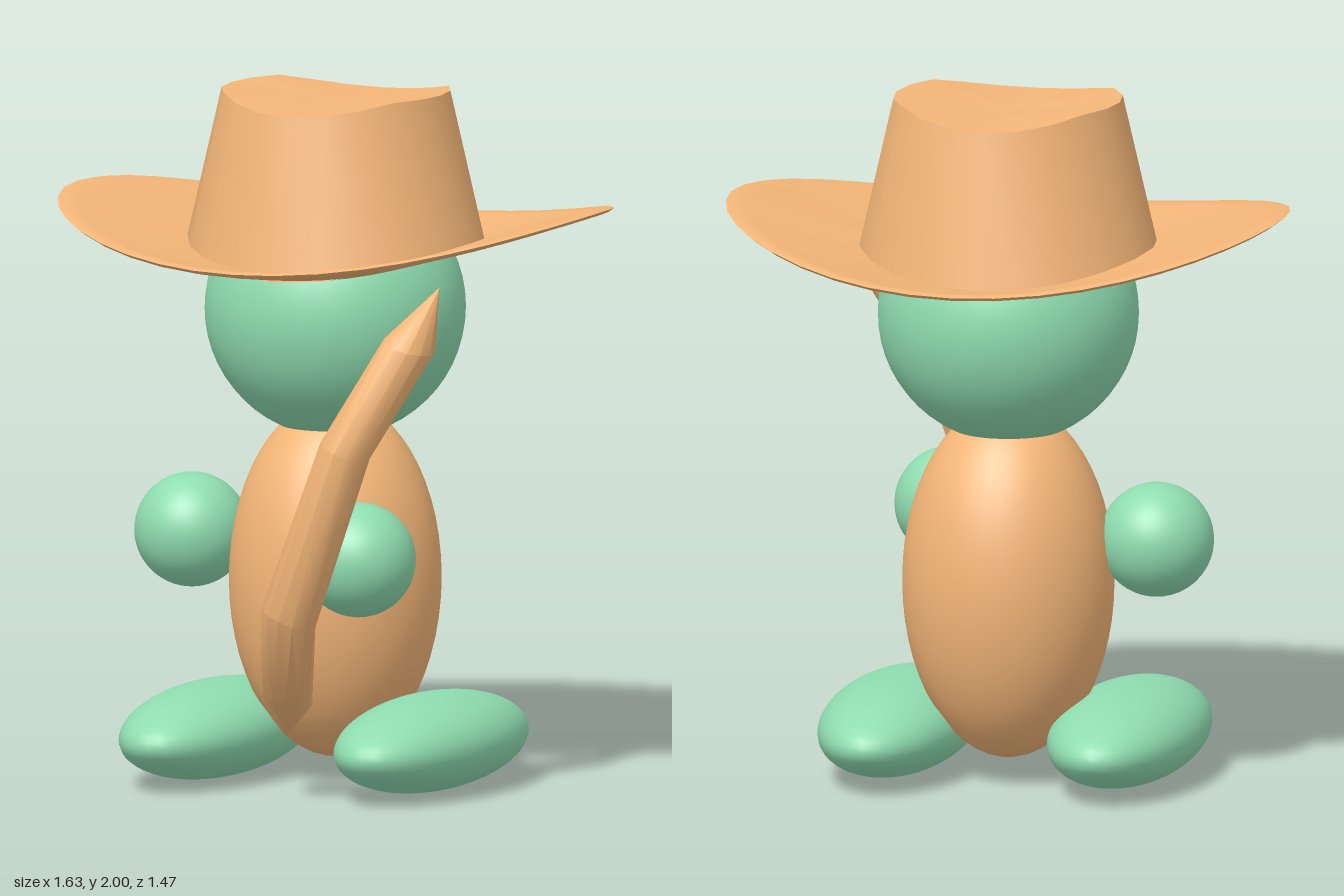
import * as THREE from 'three';
import { toCreasedNormals } from 'three/addons/utils/BufferGeometryUtils.js';

const tan = new THREE.MeshStandardMaterial({ color: 0xf4b678, side: THREE.DoubleSide });
const green = new THREE.MeshStandardMaterial({ color: 0x8fdcb0 });

// Ellipsoid with its own radii
function ellipsoid(name, mat, radii, pos) {
  const mesh = new THREE.Mesh(new THREE.SphereGeometry(1, 40, 28), mat);
  mesh.name = name;
  mesh.scale.set(...radii);
  mesh.position.set(...pos);
  return mesh;
}

// Surface through closed rings; point(ring, angle) returns [x, y, z]
function loft(name, rings, sides, point, crease) {
  const pos = [], index = [];
  for (let i = 0; i < rings; i++) {
    for (let j = 0; j < sides; j++) {
      pos.push(...point(i, (j / sides) * Math.PI * 2));
      if (i === rings - 1) continue;
      const a = i * sides + j, b = i * sides + ((j + 1) % sides);
      index.push(a, b, a + sides, b, b + sides, a + sides);
    }
  }
  const geo = new THREE.BufferGeometry();
  geo.setAttribute('position', new THREE.Float32BufferAttribute(pos, 3));
  geo.setIndex(index);
  const mesh = new THREE.Mesh(toCreasedNormals(geo, crease), tan);
  mesh.name = name;
  return mesh;
}

function createHat() {
  const hat = new THREE.Group();
  hat.name = 'hat';

  // Brim: [fraction of the outer radius, thickness offset], curled up at the sides
  const profile = [
    [0.3, 0], [0.5, 0], [0.65, 0], [0.8, 0], [0.92, 0], [0.98, 0.002], [1, 0.01],
    [0.98, 0.018], [0.92, 0.018], [0.8, 0.018], [0.65, 0.018], [0.5, 0.018],
  ];
  hat.add(loft('brim', profile.length, 40, (i, a) => {
    const [f, lift] = profile[i], c = Math.cos(a);
    const t = Math.max(0, (f - 0.5) / 0.5);
    const y = 1.49 + 0.065 * c * c + t * (0.055 + 0.065 * c * c) + lift;
    return [0.815 * f * c, y, -0.02 - 0.715 * f * Math.sin(a)];
  }, 0.9));

  // Crown: tapered wall with a top that dips at front and back
  const radii = [0.43, 0.33, 0.17, 0.001];
  hat.add(loft('crown', radii.length, 20, (i, a) => {
    const c = Math.cos(a), r = radii[i];
    const base = 1.495 + 0.075 * c * c;
    const rim = Math.min(2, 1.96 + 0.06 * c * c);
    const y = [base, rim, 1.96 + (rim - 1.96) * 0.5, 1.96][i];
    return [r * c, y, -0.02 - r * Math.sin(a)];
  }, 0.7));
  return hat;
}

// Bent stick with pointed ends: [x, y, z, half width, half depth]
function createStick() {
  const stations = [
    [0, 0.17, 0.33, 0.001, 0.001],
    [0.05, 0.3, 0.44, 0.077, 0.095],
    [0.145, 0.56, 0.63, 0.085, 0.072],
    [0.335, 1.06, 0.657, 0.075, 0.078],
    [0.47, 1.355, 0.505, 0.07, 0.105],
    [0.52, 1.51, 0.41, 0.001, 0.001],
  ];
  return loft('stick', stations.length, 12, (i, a) => {
    const [x, y, z, w, d] = stations[i];
    return [x + 0.93 * w * Math.cos(a), y - 0.37 * w * Math.cos(a), z - d * Math.sin(a)];
  }, 0.6);
}

export function createModel() {
  const model = new THREE.Group();
  model.name = 'figure';

  model.add(
    ellipsoid('body', tan, [0.305, 0.517, 0.307], [0, 0.587, -0.015]),
    ellipsoid('head', green, [0.375, 0.375, 0.375], [0, 1.37, -0.015]),
    ellipsoid('rightHand', green, [0.165, 0.165, 0.165], [-0.42, 0.71, 0.055]),
    ellipsoid('leftHand', green, [0.165, 0.165, 0.165], [0.27, 0.71, 0.42]),
  );
  for (const s of [-1, 1]) {
    model.add(ellipsoid(s < 0 ? 'rightFoot' : 'leftFoot', green,
      [0.215, 0.137, 0.485], [0.338 * s, 0.142, 0.065]));
  }
  model.add(createHat(), createStick());
  return model;
}
